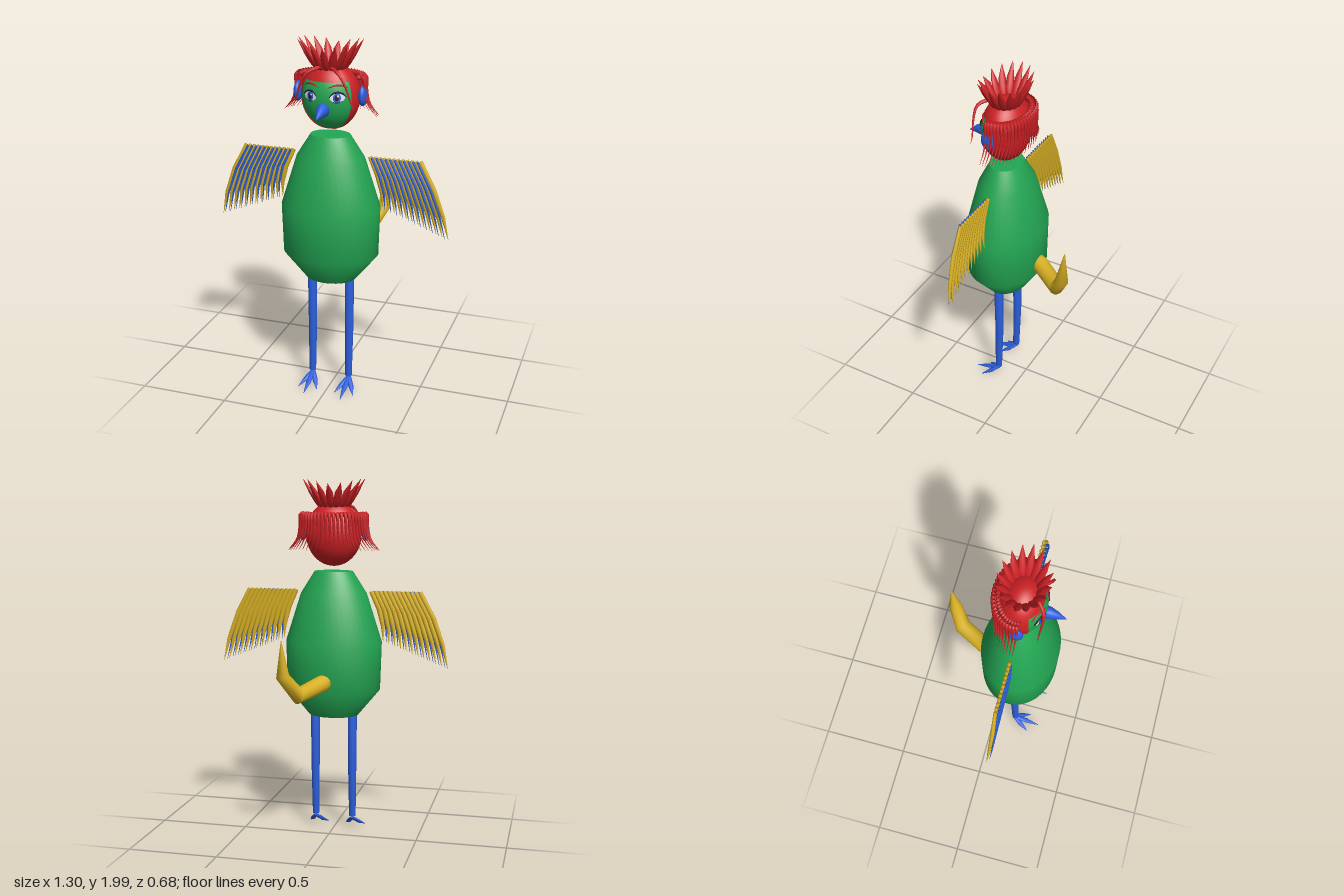
import * as THREE from 'three';

const mat = (name, color) => {
  const m = new THREE.MeshStandardMaterial({ color });
  m.name = name;
  return m;
};
const V = (x, y, z) => new THREE.Vector3(x, y, z);

// Tapered limb: rings of given radii along points; flat squashes it along ref
function limb(pts, radii, sides = 10, flat = 1, ref = V(0, 0, 1)) {
  const pos = [], idx = [];
  const n = pts.length;
  const rings = [[0, 0], ...pts.map((_, i) => [i, radii[i]]), [n - 1, 0]];
  for (const [i, r] of rings) {
    const a = pts[Math.max(i - 1, 0)], b = pts[Math.min(i + 1, n - 1)];
    const t = b.clone().sub(a).normalize();
    const u = ref.clone().addScaledVector(t, -ref.dot(t)).normalize();
    const v = t.clone().cross(u);
    for (let k = 0; k < sides; k++) {
      const ang = (k / sides) * Math.PI * 2;
      const p = pts[i].clone()
        .addScaledVector(u, Math.cos(ang) * r * flat)
        .addScaledVector(v, Math.sin(ang) * r);
      pos.push(p.x, p.y, p.z);
    }
  }
  for (let j = 0; j < rings.length - 1; j++) {
    for (let k = 0; k < sides; k++) {
      const a = j * sides + k, b = j * sides + (k + 1) % sides;
      idx.push(a, b, a + sides, b, b + sides, a + sides);
    }
  }
  const g = new THREE.BufferGeometry();
  g.setAttribute('position', new THREE.Float32BufferAttribute(pos, 3));
  g.setIndex(idx);
  g.computeVertexNormals();
  return g;
}

// Points along a smooth curve through the given ones
const smooth = (pts, n) => new THREE.CatmullRomCurve3(pts).getPoints(n);

const HEAD = V(0, 1.70, 0.115), SIZE = V(0.153, 0.175, 0.124);
const faceZ = (x, y) => HEAD.z + SIZE.z * Math.sqrt(
  Math.max(0, 1 - (x / SIZE.x) ** 2 - ((y - HEAD.y) / SIZE.y) ** 2));

// Thin oval that follows the curve of the face
function faceOval(cx, cy, rx, ry, lift) {
  const g = new THREE.RingGeometry(0.001, 1, 24, 3);
  const p = g.attributes.position;
  for (let i = 0; i < p.count; i++) {
    const x = cx + p.getX(i) * rx, y = cy + p.getY(i) * ry;
    p.setXYZ(i, x, y, faceZ(x, y) + lift);
  }
  g.computeVertexNormals();
  return g;
}

export function createModel() {
  const model = new THREE.Group();
  model.name = 'birdFigure';
  const green = mat('green', 0x23a653), blue = mat('blue', 0x2c5fdc);
  const yellow = mat('yellow', 0xd8b124), red = mat('red', 0xcb2024);
  const white = mat('white', 0xf4f4f4), dark = mat('dark', 0x1c1826);

  const group = (name, parent = model) => {
    const g = new THREE.Group();
    g.name = name;
    parent.add(g);
    return g;
  };
  const add = (parent, name, geo, m) => {
    const mesh = new THREE.Mesh(geo, m);
    mesh.name = name;
    parent.add(mesh);
    return mesh;
  };
  const ball = (parent, name, c, s, m) => {
    const b = add(parent, name, new THREE.SphereGeometry(1, 28, 20), m);
    b.position.copy(c);
    b.scale.copy(s);
    return b;
  };

  // Body: stacked oval sections with flat ends
  const profile = [[0, 0.68], [0.14, 0.68], [0.264, 0.83], [0.272, 1.10], [0.186, 1.37], [0.108, 1.493], [0, 1.493]];
  const torsoGroup = group('body');
  const torso = (from, to) => {
    const pts = profile.slice(from, to).map(([r, y]) => new THREE.Vector2(r, y));
    const m = add(torsoGroup, 'torso', new THREE.LatheGeometry(pts, 40), green);
    m.scale.z = 0.785;
    m.position.z = 0.117;
  };
  torso(0, 2);
  torso(1, 6);
  torso(5, 7);

  // Tail: bends sideways, then up to a point
  add(model, 'tail', limb(
    [V(0, 0.9, -0.04), V(0.02, 0.89, -0.1), V(0.11, 0.853, -0.25), V(0.178, 0.965, -0.31), V(0.18, 1.157, -0.326)],
    [0.046, 0.047, 0.046, 0.036, 0.002], 14, 1, V(1, 0, 0)), yellow);

  // Legs and three-toed feet
  for (const s of [1, -1]) {
    const leg = group(s > 0 ? 'leftLeg' : 'rightLeg');
    const x = s * 0.108;
    add(leg, 'shin', limb([V(x, 0.7, 0.12), V(x, 0.4, 0.12), V(x, 0.08, 0.13)], [0.026, 0.024, 0.019], 14), blue);
    for (const k of [-1, 0, 1]) {
      const reach = k ? 0.1 : 0.16;
      const along = (f, y) => V(x + k * 0.055 * f, y, 0.12 + reach * f);
      add(leg, 'toe', limb([along(0, 0.072), along(0.5, 0.035), along(1, 0.006)],
        [0.01, 0.015, 0.002], 8, 0.7, V(0, 1, 0)), blue);
    }
  }

  // Wings: a row of slanted yellow feathers with blue ones between in front
  const FEATHERS = 12;
  for (const s of [1, -1]) {
    const wing = group(s > 0 ? 'leftWing' : 'rightWing');
    const feather = (f, z, r, m, name) => {
      const at = (d, dz) => V(
        s * (THREE.MathUtils.lerp(0.215 + 0.272 * f, 0.285 + 0.362 * f, d) + 0.022 * Math.sin(d * Math.PI)),
        THREE.MathUtils.lerp(1.385, 1.11 - 0.142 * f, d), z + dz);
      add(wing, name, limb([at(0, 0), at(0.35, 0.004), at(0.7, 0), at(1, -0.008)],
        [r * 0.85, r, r * 0.75, 0.001], 8, 0.75), m);
    };
    for (let i = 0; i < FEATHERS; i++) {
      feather(i / (FEATHERS - 1), 0.107, 0.015, yellow, 'feather');
      if (i < FEATHERS - 1) feather((i + 0.5) / (FEATHERS - 1), 0.12, 0.0075, blue, 'quill');
    }
  }

  // Head with the hair cap leaving only the face open
  const head = group('head');
  ball(head, 'skull', HEAD, SIZE, green);
  const cap = (name, phi, len, theta, thetaLen) => {
    const m = add(head, name, new THREE.SphereGeometry(1.02, 36, 20, phi, len, theta, thetaLen), red);
    m.material.side = THREE.DoubleSide;
    m.position.copy(HEAD);
    m.scale.copy(SIZE);
  };
  cap('hairTop', 0, Math.PI * 2, 0, 1.03);
  cap('hairBack', Math.PI * 5 / 6, Math.PI * 4 / 3, 1.03, Math.PI - 1.03);

  // Beak
  add(head, 'beak', limb([V(0, 1.652, 0.21), V(0, 1.65, 0.25), V(0, 1.639, 0.295), V(0, 1.624, 0.338)],
    [0.034, 0.031, 0.018, 0.001], 16, 1.2, V(0, 1, 0)), blue);

  // Ears, eyes, brows and front locks
  for (const s of [1, -1]) {
    ball(head, 'ear', V(s * 0.177, 1.713, 0.122), V(0.022, 0.054, 0.04), blue);
    const eye = group(s > 0 ? 'leftEye' : 'rightEye', head);
    const ex = s * 0.072;
    add(eye, 'eyeWhite', faceOval(ex, 1.717, 0.036, 0.025, 0.002), white);
    add(eye, 'iris', faceOval(ex, 1.717, 0.019, 0.024, 0.004), blue);
    add(eye, 'pupil', faceOval(ex, 1.717, 0.01, 0.015, 0.006), dark);
    add(eye, 'glint', faceOval(ex + 0.007, 1.727, 0.005, 0.006, 0.008), white);
    const arc = (name, list, r, m) => {
      const pts = smooth(list.map(([x, y]) => V(s * x, y, faceZ(x, y) + 0.003)), 8);
      add(eye, name, limb(pts, pts.map((_, i) => r * (0.4 + 0.6 * Math.sin(i / 8 * Math.PI))), 6), m);
    };
    arc('upperLash', [[0.034, 1.717], [0.05, 1.737], [0.075, 1.745], [0.098, 1.737], [0.114, 1.722]], 0.005, dark);
    arc('lowerLash', [[0.05, 1.697], [0.072, 1.691], [0.098, 1.7]], 0.002, dark);
    arc('brow', [[0.025, 1.765], [0.06, 1.778], [0.095, 1.776], [0.115, 1.765]], 0.005, red);

    const lock = smooth([V(s * 0.03, 1.862, 0.19), V(s * 0.085, 1.84, 0.235), V(s * 0.125, 1.77, 0.238), V(s * 0.15, 1.69, 0.232), V(s * 0.17, 1.655, 0.232)], 12);
    add(head, 'frontLock', limb(lock, lock.map((_, i) => 0.011 * (1 - i / 12.5)), 8), red);
  }

  // Back hair: strands hanging round the back and flaring at the sides
  const hair = group('backHair', head);
  const STRANDS = 30;
  for (let i = 0; i < STRANDS; i++) {
    const a = (i / (STRANDS - 1) - 0.5) * Math.PI * 1.08;
    const sx = Math.sin(a), cz = -Math.cos(a);
    const at = (rx, y, rz) => V(sx * rx, y, 0.112 + cz * rz);
    const pts = smooth([at(0.15, 1.805, 0.11), at(0.183, 1.81, 0.138), at(0.19, 1.74, 0.142),
      at(0.208, 1.67, 0.138), at(0.257, 1.61, 0.13)], 10);
    add(hair, 'strand', limb(pts, pts.map((_, k) => 0.013 * (1 - k / 10.5)), 7, 1, V(sx, 0, cz)), red);
  }

  // Crest: ring of upright pointed leaves
  const crest = group('crest', head);
  const LEAVES = 16;
  for (let i = 0; i < LEAVES; i++) {
    const a = (i / LEAVES) * Math.PI * 2;
    const sx = Math.sin(a), cz = Math.cos(a);
    const at = (rx, y, rz) => V(sx * rx, y, HEAD.z + cz * rz);
    const tip = 1.962 + 0.036 * Math.abs(sx);
    add(crest, 'leaf', limb([at(0.075, 1.845, 0.065), at(0.098, 1.88, 0.085), at(0.128, 1.925, 0.105), at(0.175, tip, 0.133)],
      [0.016, 0.022, 0.019, 0.001], 8, 0.6, V(sx, 0, cz)), red);
  }
  return model;
}
